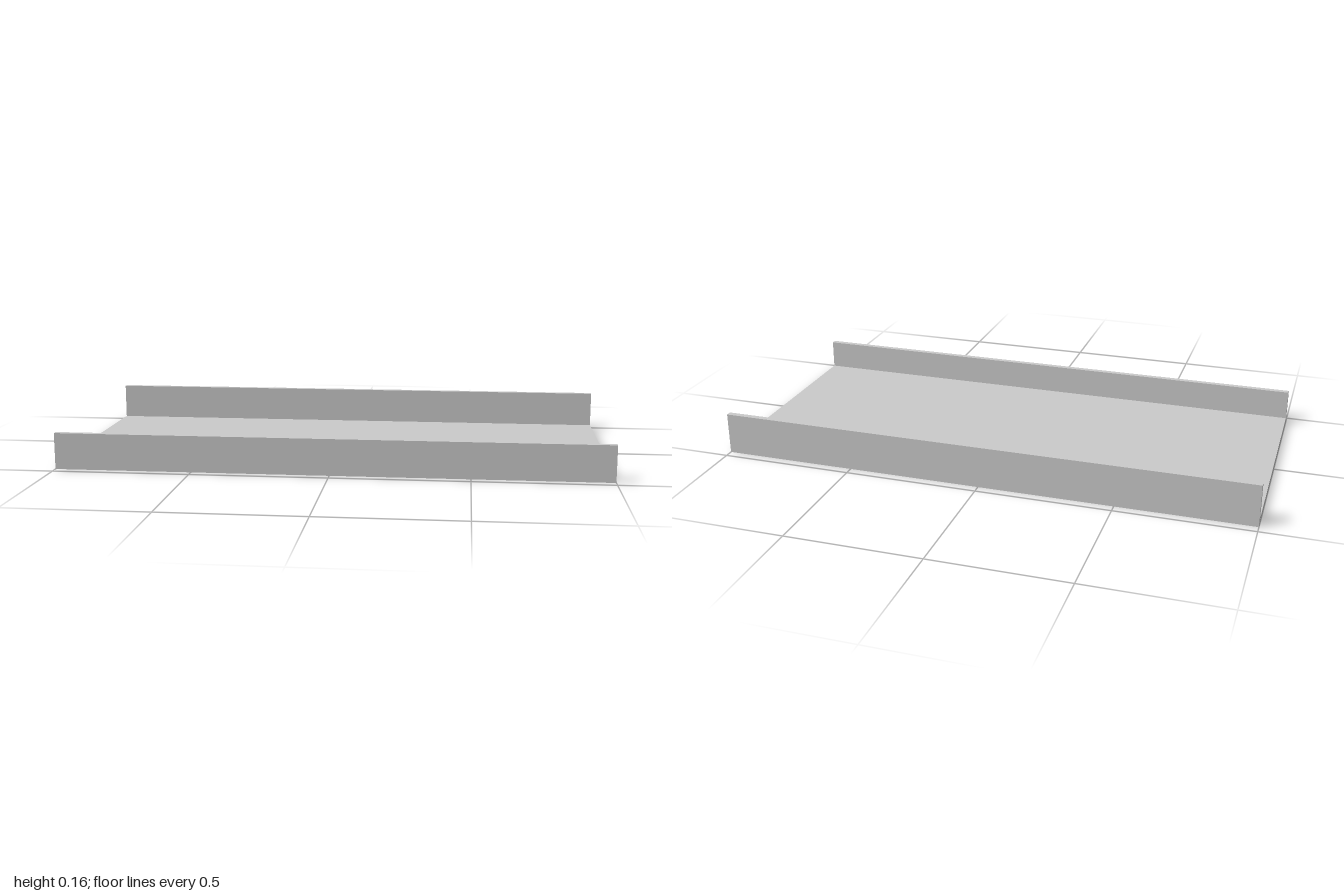
import * as THREE from 'three';

export function createModel() {
  const group = new THREE.Group();
  group.name = 'channelTray';

  const length = 2, half = 0.467, wall = 0.021, floor = 0.022;
  const frontHeight = 0.133, backHeight = 0.156;

  // U-shaped cross-section: first coordinate runs from front to back
  const section = new THREE.Shape([
    [-half, 0], [half, 0],
    [half, backHeight], [half - wall, backHeight],
    [half - wall, floor], [-half + wall, floor],
    [-half + wall, frontHeight], [-half, frontHeight],
  ].map(([x, y]) => new THREE.Vector2(x, y)));

  // Sweep it along the full width
  const geometry = new THREE.ExtrudeGeometry(section, { depth: length, bevelEnabled: false });
  geometry.translate(0, 0, -length / 2);
  geometry.rotateY(Math.PI / 2);

  const channel = new THREE.Mesh(geometry, new THREE.MeshStandardMaterial({ color: 0xcccccc }));
  channel.name = 'floorAndSideWalls';
  group.add(channel);
  return group;
}
